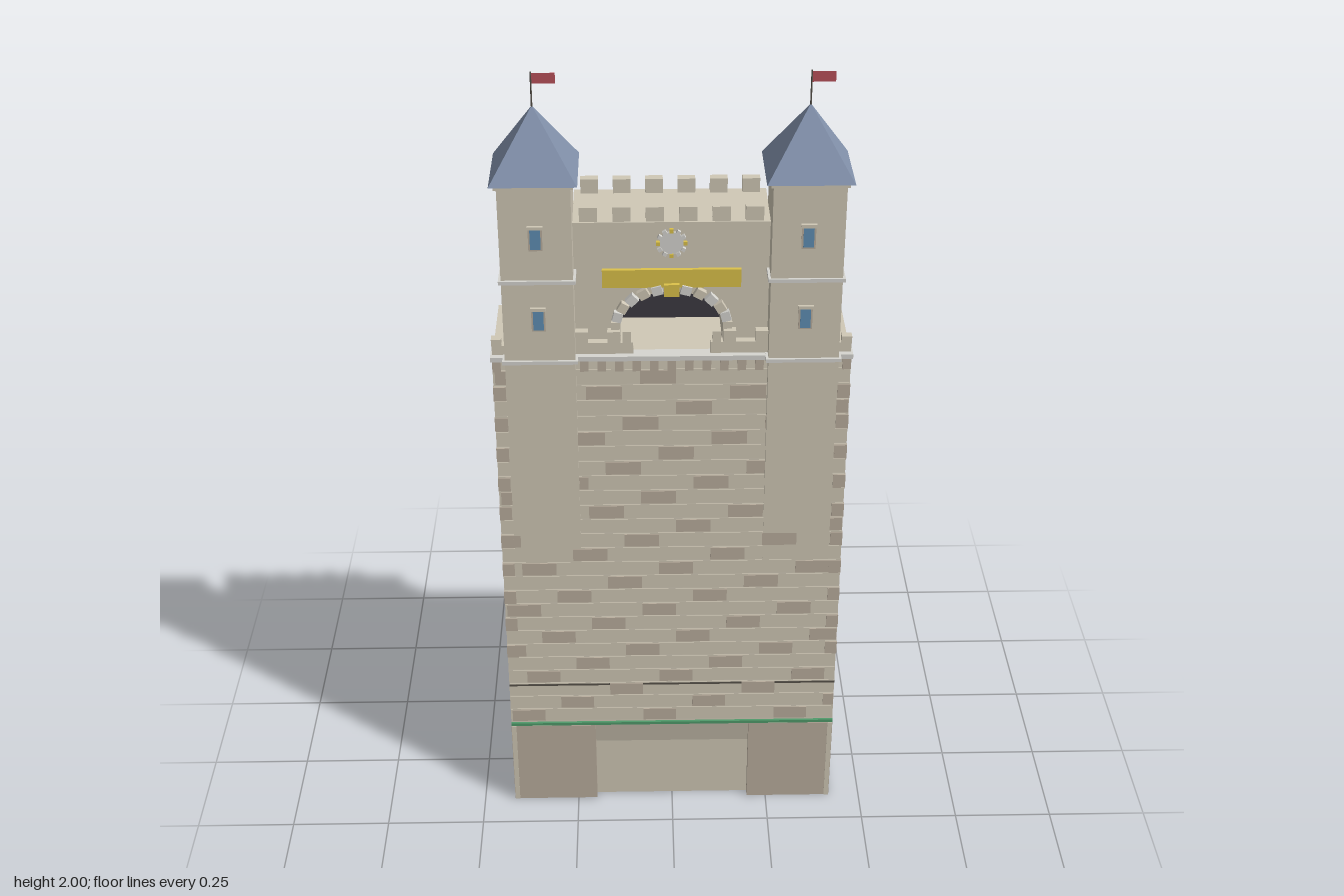
import * as THREE from 'three';

const mat = (color) => new THREE.MeshStandardMaterial({ color, flatShading: true });
const STONE = mat(0xd0c8b6), DARKSTONE = mat(0xb9ad9d), PALE = mat(0xd6d5d0), SLATE = mat(0x8291ab);
const VOID = mat(0x3c3a42), GOLD = mat(0xdcc24a), GREEN = mat(0x4f9a6a), RED = mat(0xb8505a);
const GLASS = mat(0x5f8fb4), LINE = mat(0x57524a);

export function createModel() {
  const root = new THREE.Group();

  const add = (parent, name, geometry, material, x = 0, y = 0, z = 0) => {
    const mesh = new THREE.Mesh(geometry, material);
    mesh.name = name;
    mesh.position.set(x, y, z);
    parent.add(mesh);
    return mesh;
  };
  // Box given by its limits
  const block = (parent, name, material, x0, x1, y0, y1, z0, z1) =>
    add(parent, name, new THREE.BoxGeometry(x1 - x0, y1 - y0, z1 - z0), material,
      (x0 + x1) / 2, (y0 + y1) / 2, (z0 + z1) / 2);
  const group = (name, parent = root) => {
    const g = new THREE.Group();
    g.name = name;
    parent.add(g);
    return g;
  };

  // Sloping front of the main wall
  const frontZ = (y) => 0.153 - (y - 0.25) * 0.038;

  // Main body: side profile (z, y) extruded across x
  const profile = new THREE.Shape([
    [-0.16, 0], [0.14, 0], [0.14, 0.18], [0.153, 0.25], [frontZ(1.32), 1.32], [-0.16, 1.32],
  ].map(([z, y]) => new THREE.Vector2(z, y)));
  const bodyGeo = new THREE.ExtrudeGeometry(profile, { depth: 0.84, bevelEnabled: false });
  bodyGeo.rotateY(-Math.PI / 2).translate(0.42, 0, 0);
  add(root, 'mainBody', bodyGeo, STONE);

  // Base piers either side of the entrance recess, and the trim above
  const base = group('base');
  for (const s of [-1, 1]) {
    add(base, 'basePier', new THREE.BoxGeometry(0.22, 0.25, 0.06), DARKSTONE, s * 0.31, 0.125, 0.13);
    add(base, 'pierCorner', new THREE.BoxGeometry(0.012, 0.25, 0.002), STONE, s * 0.413, 0.125, 0.1605);
  }
  block(base, 'greenTrim', GREEN, -0.42, 0.42, 0.25, 0.258, 0.14, 0.159);
  block(base, 'stringLine', LINE, -0.42, 0.42, 0.376, 0.381, 0.14, frontZ(0.378) + 0.003);

  // Brick courses: thin stepped slabs with darker bricks in a shifting pattern
  const bricks = group('brickwork');
  const rows = 25, rowH = 1.03 / rows;
  for (let r = 0; r < rows; r++) {
    const y = 0.26 + r * rowH, z = frontZ(y + rowH / 2) + 0.001;
    block(bricks, 'course', STONE, -0.419, 0.419, y + 0.003, y + rowH, z - 0.012, z);
    for (let x = -0.415 + ((r * 3) % 8) * 0.0425 - 0.34; x < 0.42; x += 0.34) {
      const x0 = Math.max(x, -0.419), x1 = Math.min(x + 0.085, 0.419);
      if (x1 - x0 > 0.01) {
        block(bricks, 'darkBrick', DARKSTONE, x0, x1, y + 0.004, y + rowH - 0.002, z - 0.01, z + 0.0025);
      }
    }
    // Corner stones, every other course
    if (r % 2 && r > 4) {
      for (const s of [-1, 1]) {
        add(bricks, 'cornerStone', new THREE.BoxGeometry(0.03, rowH - 0.004, 0.012), DARKSTONE,
          s * 0.406, y + rowH / 2, z - 0.003);
      }
    }
  }

  // Ledge, corbels and low parapet on the terrace
  const terrace = group('terrace');
  block(terrace, 'ledge', PALE, -0.424, 0.424, 1.315, 1.327, 0.085, 0.12);
  for (let i = 0; i < 21; i++) {
    const x = -0.41 + i * 0.041;
    block(terrace, 'corbel', DARKSTONE, x - 0.01, x + 0.01, 1.288, 1.315, 0.1, 0.12);
  }
  for (const s of [-1, 1]) {
    const part = (name, x, y, w, h) =>
      add(terrace, name, new THREE.BoxGeometry(w, h, 0.02), STONE, s * x, y, 0.095);
    part('parapet', 0.158, 1.341, 0.136, 0.03);
    part('merlon', 0.21, 1.37, 0.03, 0.028);
    part('merlon', 0.135, 1.37, 0.03, 0.028);
    part('merlon', 0.105, 1.37, 0.02, 0.028);
    part('endParapet', 0.405, 1.338, 0.03, 0.026);
    part('endMerlon', 0.409, 1.358, 0.024, 0.018);
  }

  // Keep between the towers, pierced by an arch
  const keep = group('keep');
  const wall = new THREE.Shape([[-0.225, 1.32], [-0.12, 1.32], [-0.12, 1.39]].map((p) => new THREE.Vector2(...p)));
  wall.absellipse(0, 1.39, 0.12, 0.085, Math.PI, 0, true);
  wall.lineTo(0.12, 1.32).lineTo(0.225, 1.32).lineTo(0.225, 1.65).lineTo(-0.225, 1.65);
  add(keep, 'keepWall', new THREE.ExtrudeGeometry(wall, { depth: 0.178, bevelEnabled: false, curveSegments: 16 }),
    STONE, 0, 0, -0.1);
  block(keep, 'darkArchway', VOID, -0.122, 0.122, 1.32, 1.48, -0.094, -0.088);
  block(keep, 'keepCornice', STONE, -0.225, 0.225, 1.64, 1.652, -0.101, 0.082);
  for (let i = 0; i < 6; i++) {
    const x = (i - 2.5) * 0.0755;
    for (const z of [-0.09, 0.067]) {
      add(keep, 'keepMerlon', new THREE.BoxGeometry(0.041, 0.036, 0.022), STONE, x, 1.669, z);
    }
  }

  // Arch stones with a golden keystone
  const arch = group('archSurround');
  for (let i = 0; i <= 12; i++) {
    const a = (i / 12) * Math.PI;
    const stone = add(arch, i === 6 ? 'keystone' : 'archStone',
      new THREE.BoxGeometry(i === 6 ? 0.036 : 0.024, i === 6 ? 0.03 : 0.022, 0.018), i === 6 ? GOLD : i % 2 ? PALE : STONE,
      Math.cos(a) * 0.13, 1.39 + Math.sin(a) * 0.096, i === 6 ? 0.089 : 0.084);
    stone.rotation.z = a - Math.PI / 2;
  }
  for (const s of [-1, 1]) {
    add(arch, 'archJamb', new THREE.BoxGeometry(0.022, 0.065, 0.018), STONE, s * 0.13, 1.355, 0.084);
  }

  // Plain golden board and clock
  block(keep, 'goldBoard', GOLD, -0.16, 0.16, 1.49, 1.535, 0.076, 0.088);
  const clock = group('clock');
  clock.position.set(0, 1.6, 0.08);
  add(clock, 'clockFace', new THREE.CylinderGeometry(0.028, 0.028, 0.006, 24).rotateX(Math.PI / 2), PALE);
  for (let i = 0; i < 12; i++) {
    const a = (i / 12) * Math.PI * 2;
    const mark = add(clock, 'clockMark', new THREE.BoxGeometry(0.009, 0.009, 0.01), i % 3 ? PALE : GOLD,
      Math.cos(a) * 0.031, Math.sin(a) * 0.031, 0.002);
    mark.rotation.z = a;
  }

  // Twin towers with pyramid roofs and flags
  for (const s of [-1, 1]) {
    const tower = group(s > 0 ? 'leftTower' : 'rightTower');
    tower.position.set(s * 0.3065, 0, 0.0565);
    block(tower, 'shaft', STONE, -0.082, 0.082, 0.7, 1.77, -0.078, 0.078);
    for (const y of [1.323, 1.53]) {
      add(tower, 'stringCourse', new THREE.BoxGeometry(0.176, 0.009, 0.168), PALE, 0, y, 0);
    }
    add(tower, 'eaves', new THREE.BoxGeometry(0.176, 0.012, 0.168), STONE, 0, 1.764, 0);
    const roofGeo = new THREE.ConeGeometry(0.098 * Math.SQRT2, 0.153, 4).rotateY(Math.PI / 4);
    add(tower, 'roof', roofGeo, SLATE, 0, 1.8465, 0);
    add(tower, 'flagpole', new THREE.CylinderGeometry(0.002, 0.002, 0.09, 6), LINE, 0, 1.955, 0);
    block(tower, 'flag', RED, 0, 0.053, 1.973, 1.997, -0.001, 0.001);
    for (const y of [1.637, 1.433]) {
      add(tower, 'windowFrame', new THREE.BoxGeometry(0.032, 0.056, 0.006), DARKSTONE, 0, y, 0.078);
      add(tower, 'windowGlass', new THREE.BoxGeometry(0.024, 0.048, 0.008), GLASS, 0, y, 0.079);
      add(tower, 'windowLintel', new THREE.BoxGeometry(0.036, 0.008, 0.012), STONE, 0, y + 0.029, 0.08);
    }
  }
  return root;
}
